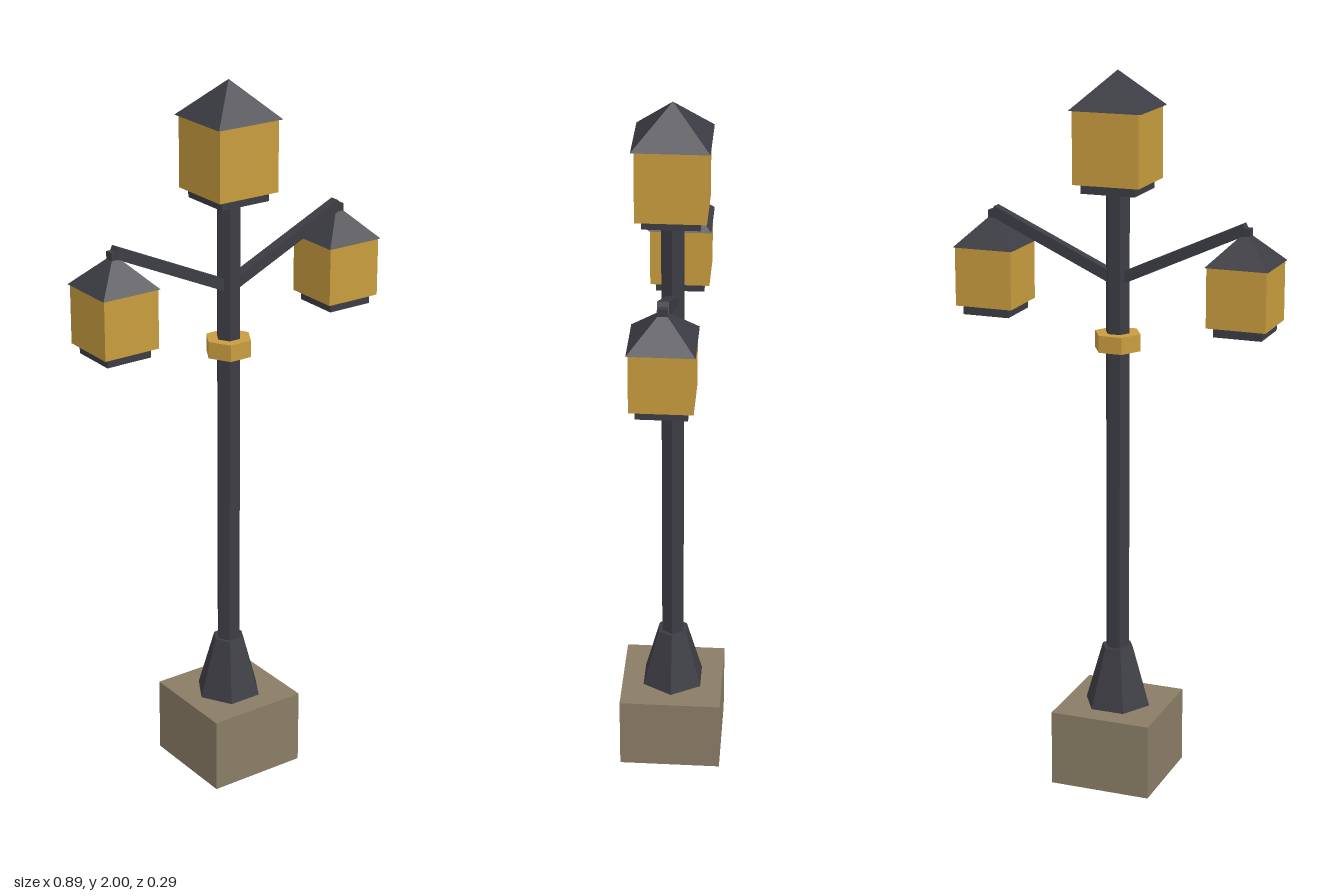
import * as THREE from 'three';

const material = (color) => new THREE.MeshStandardMaterial({ color, flatShading: true });

export function createModel() {
  const iron = material(0x3c3c44);
  const amber = material(0xc89c3e);
  const stone = material(0x8a7d66);
  stone.side = THREE.DoubleSide;

  const model = new THREE.Group();
  model.name = 'streetLamp';

  const add = (parent, name, geometry, mat, x = 0, y = 0, z = 0) => {
    const mesh = new THREE.Mesh(geometry, mat);
    mesh.name = name;
    mesh.position.set(x, y, z);
    parent.add(mesh);
    return mesh;
  };

  // Six-sided column between two heights, with corners on the x axis
  const hexColumn = (name, rTop, rBottom, y0, y1, mat) => {
    const geometry = new THREE.CylinderGeometry(rTop, rBottom, y1 - y0, 6);
    geometry.rotateY(Math.PI / 6);
    return add(model, name, geometry, mat, 0, (y0 + y1) / 2);
  };

  // Stone plinth, open underneath (box without its bottom face)
  const plinth = new THREE.BoxGeometry(0.288, 0.215, 0.288);
  const faces = Array.from(plinth.index.array);
  faces.splice(18, 6);
  plinth.setIndex(faces);
  plinth.clearGroups();
  add(model, 'plinth', plinth, stone, 0, 0.1075);

  // Post
  hexColumn('postFoot', 0.045, 0.095, 0.215, 0.387, iron);
  hexColumn('post', 0.034, 0.034, 0.3, 1.685, iron);
  hexColumn('collar', 0.066, 0.066, 1.247, 1.294, amber);

  // Square lantern: floor plate, glass and pyramid roof, standing on y
  const addLantern = (name, x, y, plateWidth, plateHeight, glassWidth, glassHeight, roofWidth, roofHeight) => {
    const lantern = new THREE.Group();
    lantern.name = name;
    lantern.position.set(x, y, 0);
    add(lantern, 'floorPlate', new THREE.BoxGeometry(plateWidth, plateHeight, plateWidth), iron, 0, plateHeight / 2);
    add(lantern, 'glass', new THREE.BoxGeometry(glassWidth, glassHeight, glassWidth), amber, 0, plateHeight + glassHeight / 2);
    const roof = new THREE.ConeGeometry(roofWidth / Math.SQRT2, roofHeight, 4);
    roof.rotateY(Math.PI / 4);
    add(lantern, 'roof', roof, iron, 0, plateHeight + glassHeight + roofHeight / 2);
    model.add(lantern);
  };

  addLantern('topLantern', 0, 1.68, 0.152, 0.025, 0.186, 0.195, 0.202, 0.1);

  // Sloping arms with a lantern hung at each end
  for (const [label, side] of [['left', 1], ['right', -1]]) {
    const reach = 0.36, rise = 0.165, startY = 1.439;
    const arm = add(model, label + 'Arm', new THREE.BoxGeometry(Math.hypot(reach, rise), 0.03, 0.03), iron,
      side * reach / 2, startY + rise / 2);
    arm.rotation.z = side * Math.atan2(rise, reach);
    add(model, label + 'Hanger', new THREE.BoxGeometry(0.026, 0.035, 0.026), iron, side * reach, 1.588);
    addLantern(label + 'Lantern', side * reach, 1.322, 0.134, 0.026, 0.164, 0.162, 0.173, 0.088);
  }

  return model;
}
